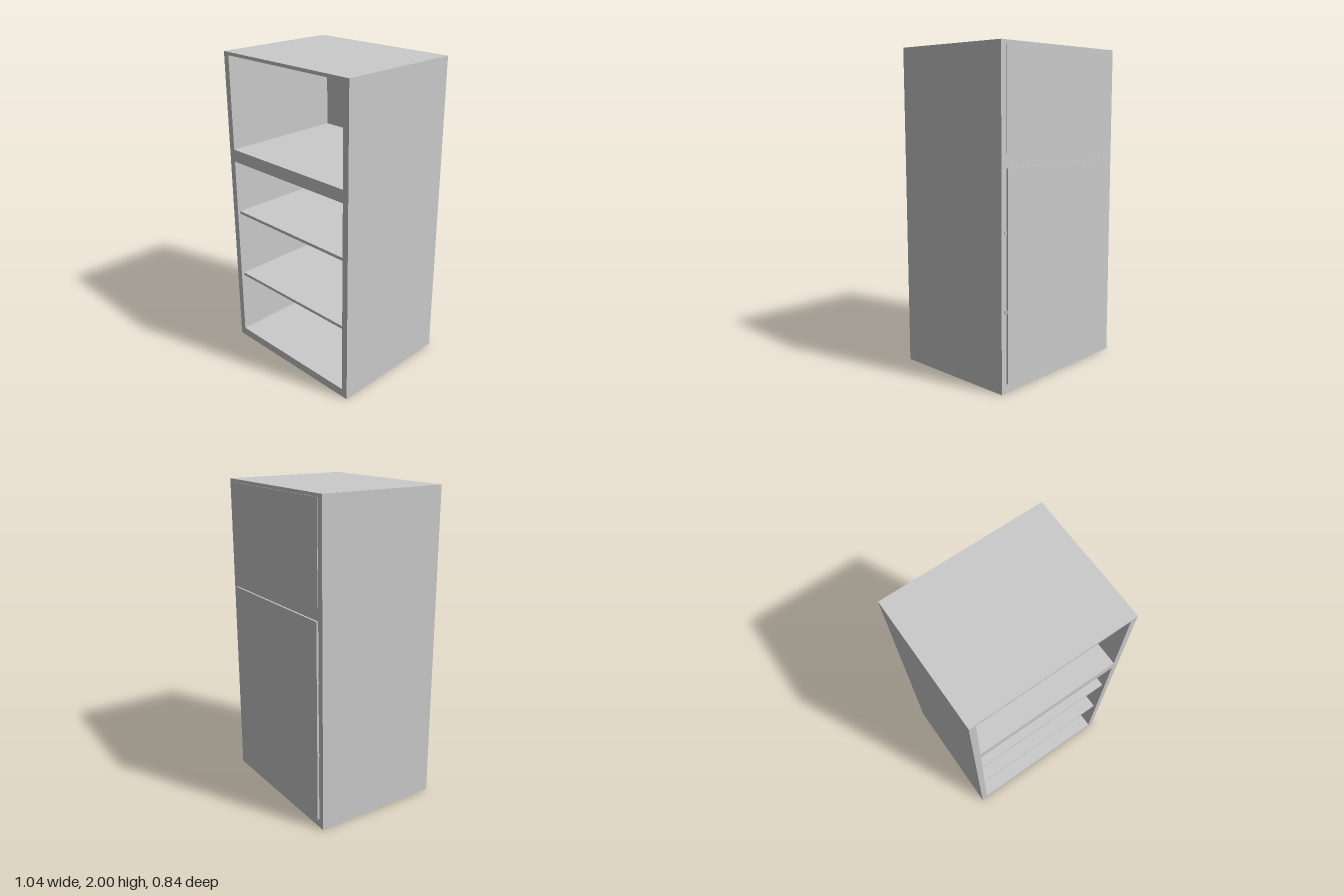
import * as THREE from 'three';

export function createModel() {
  const model = new THREE.Group();
  model.name = 'cabinet';
  const material = new THREE.MeshStandardMaterial({ color: 0xcccccc, flatShading: true });

  const halfWidth = 0.52, height = 2, front = 0.42, back = -0.41;
  const openingHalf = 0.479;
  const lower = [0.055, 1.307], upper = [1.387, 1.98];

  function add(name, geometry) {
    const mesh = new THREE.Mesh(geometry, material);
    mesh.name = name;
    model.add(mesh);
  }

  // Box given by its limits on each axis
  function addBox(name, [x0, x1], [y0, y1], [z0, z1]) {
    const geometry = new THREE.BoxGeometry(x1 - x0, y1 - y0, z1 - z0);
    geometry.translate((x0 + x1) / 2, (y0 + y1) / 2, (z0 + z1) / 2);
    add(name, geometry);
  }

  const rectangle = (half, y0, y1) => [
    new THREE.Vector2(-half, y0), new THREE.Vector2(half, y0),
    new THREE.Vector2(half, y1), new THREE.Vector2(-half, y1),
  ];

  // Carcass: one frame with two openings running from front to back
  const outline = new THREE.Shape(rectangle(halfWidth, 0, height));
  for (const [y0, y1] of [lower, upper]) {
    outline.holes.push(new THREE.Path(rectangle(openingHalf, y0, y1)));
  }
  const carcass = new THREE.ExtrudeGeometry(outline, { depth: front - back, bevelEnabled: false });
  carcass.translate(0, 0, back);
  add('carcass', carcass);

  // Back panels close the openings and stand slightly proud behind
  addBox('upperBackPanel', [-openingHalf, openingHalf], upper, [-0.414, -0.408]);
  addBox('lowerBackPanel', [-openingHalf, openingHalf], lower, [-0.422, -0.408]);

  // Thin shelves, set a little behind the front and let into the side wall
  for (const y of [0.477, 0.937]) {
    addBox('shelf', [-0.482, 0.495], [y, y + 0.019], [-0.415, 0.4]);
  }

  return model;
}
